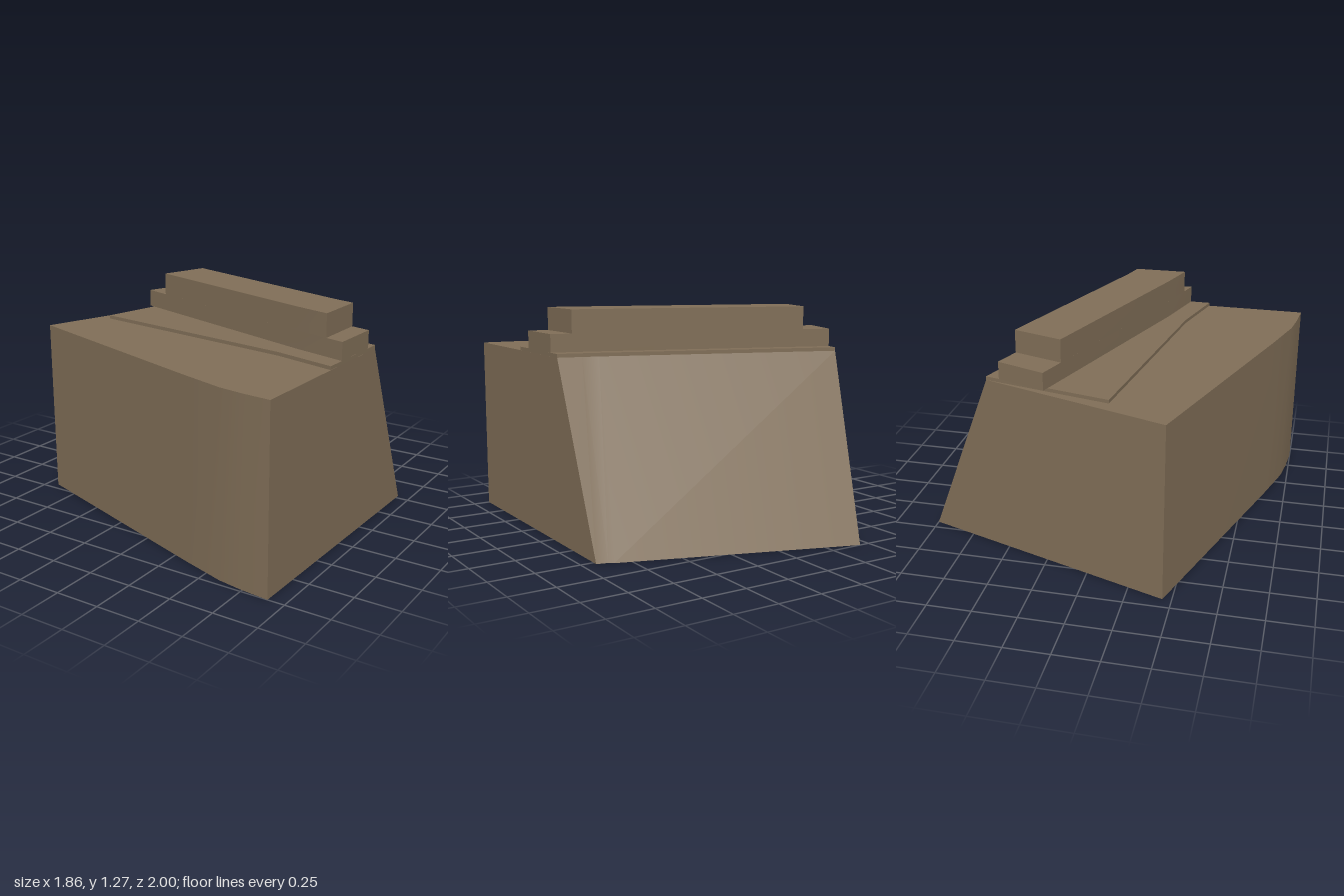
import * as THREE from 'three';
import { toCreasedNormals } from 'three/addons/utils/BufferGeometryUtils.js';

// Solid between two outlines of [x, z] points: front edge left to right, then back edge right to left
function loft(bottom, top, y0, y1, closeBottom = false) {
  const pos = [];
  const put = (p, y) => pos.push(p[0], y, p[1]);
  const n = bottom.length;
  for (let i = 0; i < n; i++) {
    const j = (i + 1) % n;
    put(bottom[i], y0); put(bottom[j], y0); put(top[j], y1);
    put(bottom[i], y0); put(top[j], y1); put(top[i], y1);
  }
  const cap = (outline, y, flip) => {
    const flat = outline.map(([x, z]) => new THREE.Vector2(x, -z));
    for (const [a, b, c] of THREE.ShapeUtils.triangulateShape(flat, [])) {
      for (const k of flip ? [a, c, b] : [a, b, c]) put(outline[k], y);
    }
  };
  cap(top, y1, false);
  if (closeBottom) cap(bottom, y0, true);
  const geo = new THREE.BufferGeometry();
  geo.setAttribute('position', new THREE.Float32BufferAttribute(pos, 3));
  return toCreasedNormals(geo, 0.5);
}

export function createModel() {
  const model = new THREE.Group();
  model.name = 'steppedWall';
  const stone = new THREE.MeshStandardMaterial({ color: 0x806e57 });
  stone.name = 'brown stone';

  const add = (name, ...args) => {
    const mesh = new THREE.Mesh(loft(...args), stone);
    mesh.name = name;
    model.add(mesh);
  };

  // Plan edges
  const front = [[-0.93, 0.45], [0.33, 0.875], [0.6, 0.96], [0.75, 0.985], [0.905, 1]];
  const backFoot = [[0.926, -0.53], [0.865, -0.545], [0.84, -0.565], [-0.44, -1]];
  const backTop = [[0.92, -0.1], [0.79, -0.135], [0.7, -0.16], [-0.58, -0.595]];

  // Main block with a sloping back
  add('slopedBase', [...front, ...backFoot], [...front, ...backTop], 0, 1.02, true);

  // Thin ledge along the rear of the block
  const ledge = [[-0.74, 0.12], [0.54, 0.31], [0.912, 0.41], ...backTop];
  ledge[1] = [0.55, 0.313];
  add('ledge', ledge, ledge, 1.02, 1.04);

  // Lower step, full length
  const step = [[-0.7, -0.24], [0.6, 0.2], [0.913, 0.29], [0.918, -0.015], [0.68, -0.08], [-0.6, -0.515]];
  add('lowerStep', step, step, 1.04, 1.14);

  // Raised top block, set in from both ends
  const crest = [[-0.54, -0.186], [0.6, 0.2], [0.805, 0.26], [0.805, -0.046], [0.68, -0.08], [-0.45, -0.464]];
  add('topBlock', crest, crest, 1.14, 1.27);

  return model;
}
